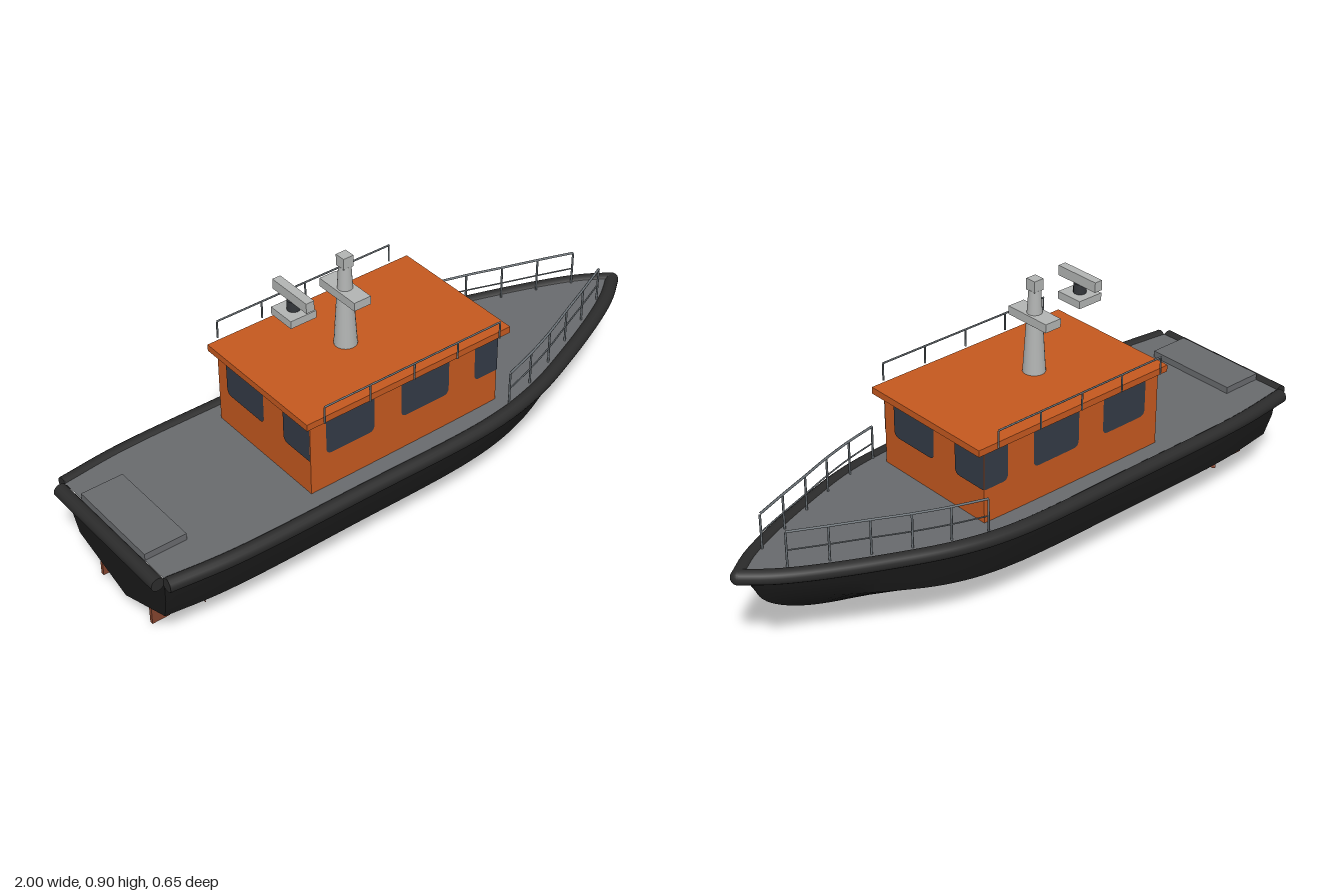
import * as THREE from 'three';
import { toCreasedNormals } from 'three/addons/utils/BufferGeometryUtils.js';

const V = (x, y, z) => new THREE.Vector3(x, y, z);

function paint(name, color, side = THREE.FrontSide) {
  const m = new THREE.MeshStandardMaterial({ color, side });
  m.name = name;
  return m;
}

const hullBlack = paint('hull black', 0x1b1b1b);
const rubber = paint('rubber black', 0x2b2b2b);
const deckGrey = paint('deck grey', 0x686a6d, THREE.DoubleSide);
const orange = paint('cabin orange', 0xc4581f);
const glass = paint('window glass', 0x333a46, THREE.DoubleSide);
const mastGrey = paint('mast grey', 0xb2b4b3);
const railGrey = paint('rail grey', 0x6c7378);
const bronze = paint('bronze', 0x84442e);
const keelGrey = paint('keel grey', 0x33363a);

// Surface through rows of points
function loft(rows, crease = 0.5) {
  const pos = [];
  for (let i = 0; i < rows.length - 1; i++) {
    for (let j = 0; j < rows[i].length - 1; j++) {
      const a = rows[i][j], c = rows[i][j + 1], b = rows[i + 1][j], d = rows[i + 1][j + 1];
      for (const p of [a, c, b, c, d, b]) pos.push(p.x, p.y, p.z);
    }
  }
  const g = new THREE.BufferGeometry();
  g.setAttribute('position', new THREE.Float32BufferAttribute(pos, 3));
  return toCreasedNormals(g, crease);
}

// Hull stations: x, fender half width, chine half width, chine y, keel x, keel y
const stations = [
  [-0.96, 0.272, 0.225, 0.14, -0.94, 0.05],
  [-0.75, 0.294, 0.243, 0.135, -0.77, 0.03],
  [-0.3, 0.297, 0.245, 0.135, -0.3, 0.028],
  [0.2, 0.296, 0.238, 0.14, 0.17, 0.03],
  [0.4, 0.264, 0.205, 0.155, 0.4, 0.055],
  [0.6, 0.195, 0.135, 0.185, 0.6, 0.09],
  [0.8, 0.11, 0.062, 0.23, 0.8, 0.16],
  [0.9, 0.056, 0.025, 0.275, 0.9, 0.23],
  [0.96, 0.014, 0.003, 0.32, 0.94, 0.31],
];
const sheerY = (x) => 0.3 + 0.04 * Math.pow(Math.max(0, x) / 0.97, 1.3);
const flow = (fn) => new THREE.CatmullRomCurve3(stations.map(fn), false, 'centripetal');
const flip = (p) => V(p.x, p.y, -p.z);

export function createModel() {
  const model = new THREE.Group();
  const add = (name, geo, mat, x = 0, y = 0, z = 0, parent = model) => {
    const m = new THREE.Mesh(geo, mat);
    m.name = name;
    m.position.set(x, y, z);
    parent.add(m);
    return m;
  };
  // Box given by its extents
  const box = (name, mat, x0, x1, y0, y1, z0, z1) =>
    add(name, new THREE.BoxGeometry(x1 - x0, y1 - y0, z1 - z0), mat, (x0 + x1) / 2, (y0 + y1) / 2, (z0 + z1) / 2);
  const rod = (name, a, b, r, mat) => add(name, new THREE.TubeGeometry(new THREE.LineCurve3(a, b), 1, r, 6), mat);

  // Hull
  const lines = [
    flow(([x, h]) => V(x, sheerY(x) + 0.012, Math.max(h - 0.014, 0.002))),
    flow(([x, h, c, cy]) => V(x + (x < -0.9 ? 0.006 : 0), (cy + sheerY(x)) / 2, (c + h - 0.014) / 2 + 0.03 * c)),
    flow(([x, , c, cy]) => V(x + (x < -0.9 ? 0.013 : 0), cy, c)),
    flow(([, , , , kx, ky]) => V(kx, ky, 0)),
  ];
  const rows = [];
  for (let i = 0; i <= 48; i++) {
    const half = lines.map((l) => l.getPoint(i / 48));
    rows.push([...half, ...half.slice(0, 3).reverse().map(flip)]);
  }
  add('hull', loft(rows), hullBlack);
  const sternTop = V(-0.96, 0.312, 0);
  add('transom', loft([rows[0].map(() => sternTop), rows[0]]), hullBlack);
  box('keel', keelGrey, -0.61, 0.08, 0, 0.045, -0.008, 0.008);

  // Deck
  const edge = flow(([x, h]) => V(x, sheerY(x) + 0.015, h));
  const deckRows = [];
  for (let i = 0; i <= 48; i++) {
    const p = edge.getPoint(i / 48);
    deckRows.push([flip(p), p]);
  }
  add('deck', loft(deckRows), deckGrey);
  box('sternHatch', deckGrey, -0.96, -0.82, 0.312, 0.337, -0.165, 0.165);

  // Fender along the sheer, with a stern roller
  const bow = V(0.975, 0.34, 0);
  for (const s of [1, -1]) {
    const pts = stations.map(([x, h]) => V(x, sheerY(x), h * s));
    pts[pts.length - 1] = bow;
    add('sideFender', new THREE.TubeGeometry(new THREE.CatmullRomCurve3(pts, false, 'centripetal'), 64, 0.023, 14), rubber);
    const cap = add('fenderEnd', new THREE.CircleGeometry(0.023, 14), rubber, -0.96, 0.3, 0.272 * s);
    cap.rotation.y = -Math.PI / 2;
  }
  add('bowFender', new THREE.SphereGeometry(0.023, 16, 12), rubber, bow.x, bow.y, 0);
  const roller = add('sternFender', new THREE.CylinderGeometry(0.022, 0.022, 0.51, 16), rubber, -0.978, 0.3, 0);
  roller.rotation.x = Math.PI / 2;

  // Cabin
  box('cabin', orange, -0.43, 0.27, 0.3, 0.567, -0.226, 0.226);
  box('cabinRoof', orange, -0.452, 0.303, 0.566, 0.588, -0.243, 0.243);

  // Window pane from u0 to u1 with rounded lower corners where asked
  const pane = (u0, u1, r0, r1) => {
    const s = new THREE.Shape();
    s.moveTo(u0, 0.566);
    s.lineTo(u0, 0.435 + r0);
    s.quadraticCurveTo(u0, 0.435, u0 + r0, 0.435);
    s.lineTo(u1 - r1, 0.435);
    s.quadraticCurveTo(u1, 0.435, u1, 0.435 + r1);
    s.lineTo(u1, 0.566);
    return new THREE.ShapeGeometry(s);
  };
  const R = 0.022;
  for (const s of [1, -1]) {
    for (const [a, b, r] of [[-0.375, -0.2, R], [-0.1, 0.08, R], [0.18, 0.27, 0.004]]) {
      add('sideWindow', pane(a, b, R, r), glass, 0, 0, 0.2285 * s);
    }
    for (const [a, b, r] of [[-0.18, 0.004, R], [0.1, 0.226, 0.004]]) {
      const w = add(s > 0 ? 'frontWindow' : 'rearWindow', pane(a, b, R, r), glass, s > 0 ? 0.2725 : -0.4325, 0, 0);
      w.rotation.y = s * Math.PI / 2;
    }
  }

  // Roof handrails and bow rails
  const bowPosts = [0.268, 0.237, 0.198, 0.152, 0.107, 0.06].map((z, i) => [0.29 + 0.112 * i, z]);
  for (const s of [1, -1]) {
    const z = 0.261 * s;
    rod('roofRail', V(-0.405, 0.64, z), V(0.247, 0.64, z), 0.003, railGrey);
    for (let i = 0; i < 5; i++) {
      const x = -0.403 + 0.162 * i;
      rod('roofRailPost', V(x, 0.582, z), V(x, 0.64, z), 0.003, railGrey);
    }
    const top = bowPosts.map(([x, w], i) => V(x, 0.435 + 0.006 * i, w * s));
    const foot = bowPosts.map(([x, w]) => V(x, sheerY(x) + 0.01, w * s));
    const mid = top.map((p, i) => p.clone().lerp(foot[i], 0.5));
    for (const [name, pts, r] of [['bowTopRail', top, 0.004], ['bowMidRail', mid, 0.0025]]) {
      add(name, new THREE.TubeGeometry(new THREE.CatmullRomCurve3(pts), 30, r, 6), railGrey);
    }
    top.forEach((p, i) => rod('bowRailPost', foot[i], p, 0.0035, railGrey));
  }

  // Mast and radar
  add('mast', new THREE.CylinderGeometry(0.019, 0.036, 0.276, 20), mastGrey, -0.127, 0.724, 0);
  box('mastHead', mastGrey, -0.145, -0.109, 0.86, 0.897, -0.018, 0.018);
  box('mastCrossbar', mastGrey, -0.157, -0.097, 0.757, 0.785, -0.082, 0.082);
  box('radarBase', mastGrey, -0.356, -0.266, 0.765, 0.79, -0.047, 0.047);
  add('radarPivot', new THREE.CylinderGeometry(0.02, 0.02, 0.034, 16), keelGrey, -0.311, 0.806, 0);
  box('radarAntenna', mastGrey, -0.325, -0.297, 0.822, 0.855, -0.08, 0.08);

  // Propellers and rudders
  for (const s of [1, -1]) {
    const prop = new THREE.Group();
    prop.name = 'propeller';
    prop.position.set(-0.778, 0.071, 0.13 * s);
    const hub = add('propellerHub', new THREE.CylinderGeometry(0.008, 0.008, 0.03, 12), bronze, 0, 0, 0, prop);
    hub.rotation.z = Math.PI / 2;
    for (let i = 0; i < 5; i++) {
      const arm = new THREE.Group();
      arm.name = 'propellerBlade';
      arm.rotation.x = Math.PI + s * 0.05 + i * Math.PI * 0.4;
      const blade = add('blade', new THREE.SphereGeometry(1, 12, 8), bronze, 0, 0.025, 0, arm);
      blade.scale.set(0.003, 0.021, 0.011);
      blade.rotation.y = 0.5 * s;
      prop.add(arm);
    }
    model.add(prop);
    box('rudder', bronze, -0.938, -0.878, 0.037, 0.105, 0.13 * s - 0.006, 0.13 * s + 0.006);
  }
  return model;
}
